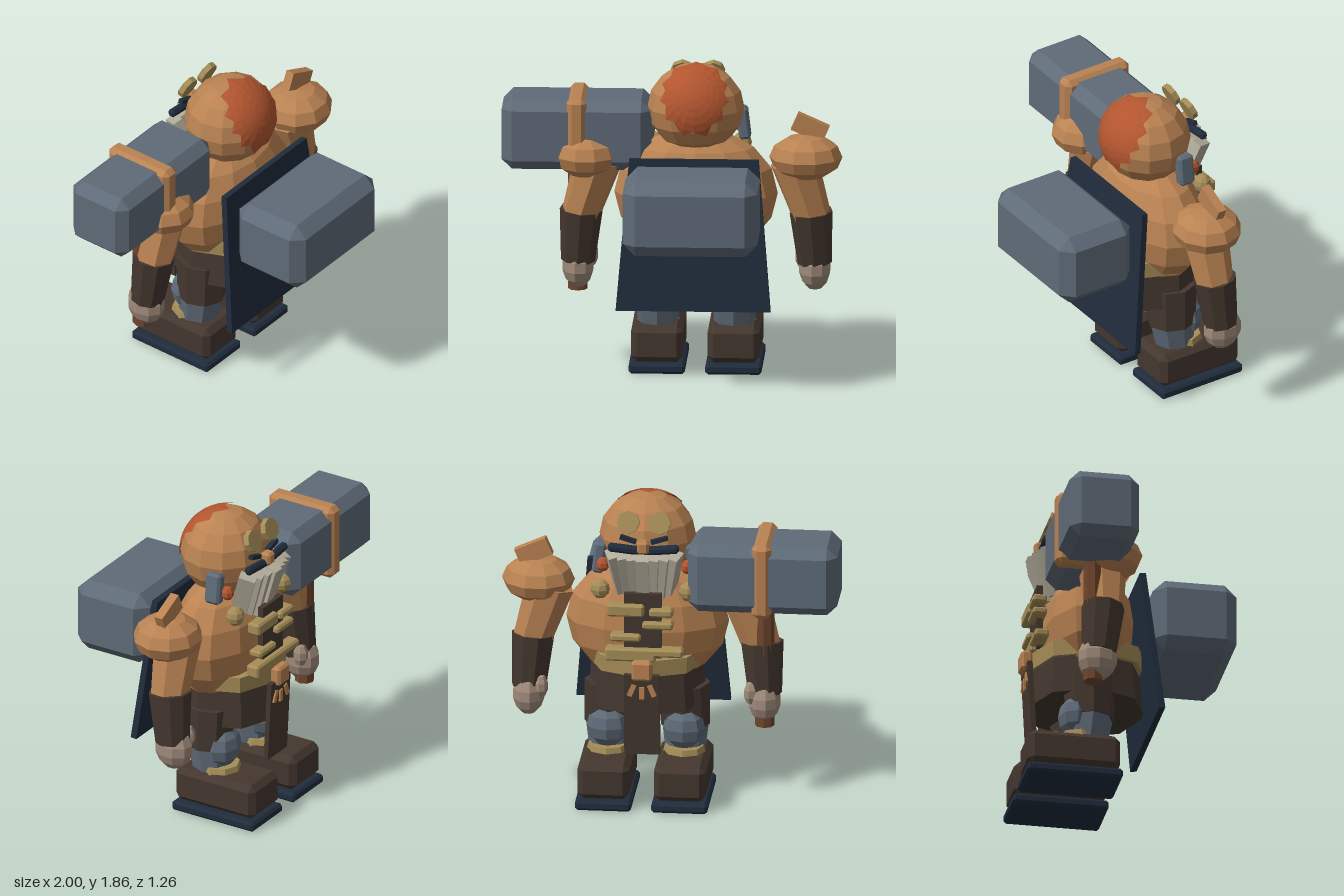
import * as THREE from 'three';
import { ConvexGeometry } from 'three/addons/geometries/ConvexGeometry.js';

const CX = 0.14; // the figure's own centre line

export function createModel() {
  const model = new THREE.Group();
  const mat = (name, color, side = THREE.FrontSide) =>
    new THREE.MeshStandardMaterial({ name, color, flatShading: true, side });
  const tan = mat('tan', 0xb98252);
  const slate = mat('slate', 0x5f6b78);
  const navy = mat('navy', 0x202c3c);
  const brown = mat('dark brown', 0x44372f);
  const gold = mat('gold', 0xa58d57);
  const orange = mat('orange', 0xb2552f, THREE.DoubleSide);
  const grey = mat('beard grey', 0xb3ac9b);
  const flesh = mat('hand flesh', 0xa08b7b);
  const wood = mat('wood', 0x70452c);

  function add(name, geo, material, pos = [0, 0, 0], rot = [0, 0, 0]) {
    const m = new THREE.Mesh(geo, material);
    m.name = name;
    m.position.set(...pos);
    m.rotation.set(...rot);
    model.add(m);
    return m;
  }
  // box with every edge and corner cut off by c
  function chamferBox(w, h, d, c) {
    const pts = [], s = [w / 2, h / 2, d / 2];
    for (let full = 0; full < 3; full++)
      for (const sx of [-1, 1]) for (const sy of [-1, 1]) for (const sz of [-1, 1]) {
        const v = [sx, sy, sz].map((q, i) => q * (s[i] - (i === full ? 0 : c)));
        pts.push(new THREE.Vector3(...v));
      }
    return new ConvexGeometry(pts);
  }
  const box = (w, h, d) => new THREE.BoxGeometry(w, h, d);
  const ball = (rx, ry, rz, a = 10, b = 7) => new THREE.SphereGeometry(1, a, b).scale(rx, ry, rz);
  // tapered limb between two points
  function limb(name, material, a, b, r0, r1, sides = 8) {
    const A = new THREE.Vector3(...a), B = new THREE.Vector3(...b);
    const m = add(name, new THREE.CylinderGeometry(r0, r1, A.distanceTo(B), sides), material);
    m.position.copy(A).add(B).multiplyScalar(0.5);
    m.quaternion.setFromUnitVectors(new THREE.Vector3(0, 1, 0), A.clone().sub(B).normalize());
    return m;
  }

  // torso, belt and skirt
  add('torso', ball(0.48, 0.39, 0.275, 12, 8), tan, [CX, 1.07, -0.21]);
  add('belt', new THREE.CylinderGeometry(0.36, 0.355, 0.1, 8), gold, [CX, 0.865, -0.2]);
  add('skirt', new THREE.CylinderGeometry(0.33, 0.35, 0.25, 8), brown, [CX, 0.705, -0.21]);

  // head and swept hair patch
  const headR = [0.285, 0.262, 0.262], headPos = [CX, 1.588, -0.195];
  add('head', ball(...headR, 12, 8), tan, headPos);
  add('hair', hairPatch(headR, 1.025), orange, headPos);

  // face
  for (const s of [-1, 1]) {
    const x = CX + s * 0.092;
    add('goggle', new THREE.CylinderGeometry(0.068, 0.068, 0.035, 8), gold, [x, 1.745, -0.44], [-1.2, 0, 0]);
    add('eyebrow', box(0.1, 0.025, 0.03), navy, [x, 1.645, -0.455], [0, 0, s * 0.3]);
    add('moustache', chamferBox(0.22, 0.05, 0.05, 0.015), navy, [CX + s * 0.1, 1.59, -0.475], [0, 0, s * 0.1]);
    add('earGuard', chamferBox(0.07, 0.19, 0.1, 0.015), slate, [CX + s * 0.275, 1.475, -0.29], [0, 0, s * 0.12]);
    add('braidBead', ball(0.04, 0.045, 0.04, 7, 5), orange, [CX + s * 0.25, 1.45, -0.365]);
    add('braidBall', ball(0.058, 0.06, 0.055, 8, 6), gold, [CX + s * 0.26, 1.32, -0.425]);
  }
  add('nose', chamferBox(0.07, 0.08, 0.07, 0.015), tan, [CX, 1.61, -0.485]);

  // beard made of a fan of slabs
  for (let i = -3; i <= 3; i++) {
    const k = Math.abs(i);
    add('beardLock', box(0.075 - k * 0.004, 0.33 - k * 0.02, 0.1), grey,
      [CX + i * 0.055, 1.4 + k * 0.01, -0.47 + k * 0.016], [-0.28, i * 0.12, i * -0.06]);
  }

  // chest panel with staggered clasps
  add('chestPanel', box(0.22, 0.4, 0.035), brown, [CX, 1.13, -0.505]);
  [[1.23, 0.1, 0.22, 0.075], [1.14, -0.09, 0.18, 0.045], [1.06, 0.1, 0.18, 0.045], [0.955, 0.07, 0.3, 0.08],
    [1.22, -0.11, 0.14, 0.05], [0.97, -0.13, 0.22, 0.05]].forEach(([y, dx, w, h]) =>
    add('clasp', chamferBox(w, h, 0.085, 0.012), gold, [CX + dx, y, -0.515]));

  // hanging apron with buckle and tabs
  add('apron', box(0.21, 0.5, 0.03), brown, [CX, 0.59, -0.55], [-0.05, 0, 0]);
  add('buckle', chamferBox(0.12, 0.12, 0.07, 0.015), tan, [CX, 0.87, -0.57]);
  for (const i of [-1, 0, 1])
    add('apronTab', box(0.03, 0.075, 0.02), tan, [CX + i * 0.06, 0.745 - (i === 0 ? 0.015 : 0), -0.573], [0, 0, i * 0.4]);

  // legs and boots
  for (const s of [-1, 1]) {
    const x = CX + s * 0.225;
    limb('thigh', brown, [x - s * 0.01, 0.68, -0.23], [x, 0.42, -0.23], 0.155, 0.145);
    limb('shin', slate, [x, 0.45, -0.23], [x, 0.25, -0.25], 0.14, 0.115);
    add('knee', ball(0.125, 0.13, 0.1, 8, 6), slate, [x, 0.43, -0.32]);
    add('ankleCuff', new THREE.CylinderGeometry(0.115, 0.13, 0.06, 8), gold, [x, 0.285, -0.3]);
    add('boot', chamferBox(0.305, 0.215, 0.55, 0.035), brown, [x, 0.173, -0.345]);
    add('sole', chamferBox(0.33, 0.06, 0.57, 0.015), navy, [x, 0.03, -0.345]);
  }

  // arms
  for (const s of [-1, 1]) {
    const X = (d) => CX + s * d;
    const r = s > 0 ? 0.215 : 0.19;
    add('shoulder', ball(r, 0.135, 0.205, 10, 6), tan, [X(0.645), 1.292, -0.2]);
    limb('upperArm', tan, [X(0.57), 1.27, -0.22], [X(0.68), 0.92, -0.23], 0.145, 0.115, 7);
    limb('gauntlet', brown, [X(0.675), 0.955, -0.235], [X(0.695), 0.64, -0.265], 0.128, 0.102, 9);
    add('hand', ball(0.096, 0.135, 0.12, 9, 7), flesh, [X(0.695), 0.605, -0.275]);
    add('thumb', ball(0.045, 0.075, 0.05, 7, 5), flesh, [X(0.62), 0.66, -0.32]);
  }
  add('shoulderTab', box(0.2, 0.11, 0.055), tan, [0.81, 1.465, -0.22], [0, 0, -0.42]);

  // great hammer resting on the right shoulder
  add('hammerHead', chamferBox(0.88, 0.42, 0.415, 0.06), slate, [-0.56, 1.42, -0.305]);
  add('hammerStrap', chamferBox(0.115, 0.46, 0.45, 0.03), tan, [-0.558, 1.42, -0.3]);
  limb('hammerHandle', wood, [-0.558, 1.25, -0.3], [-0.558, 0.455, -0.3], 0.057, 0.057, 8);

  // cape panel and pack
  const cape = new THREE.Shape([[-0.455, -0.45], [0.455, -0.45], [0.38, 0.45], [-0.38, 0.45]]
    .map((p) => new THREE.Vector2(...p)));
  add('cape', new THREE.ExtrudeGeometry(cape, { depth: 0.038, bevelEnabled: false }), navy,
    [CX, 0.885, 0.09], [-0.113, 0, 0]);
  add('pack', chamferBox(0.79, 0.45, 0.5, 0.072), slate, [CX, 1.097, 0.378]);

  return model;
}

// jagged patch that follows the head, tilted up over the crown
function hairPatch(radii, grow) {
  const seg = 22, rings = 6, pos = [], idx = [];
  const tilt = new THREE.Vector3(1, 0, 0);
  for (let j = 0; j <= rings; j++)
    for (let i = 0; i < seg; i++) {
      const a = (i / seg) * Math.PI * 2 + Math.PI / 2;
      const edge = 1 / Math.hypot(Math.cos(a) / 0.78, Math.sin(a) / 1.1);
      const t = edge * (j / rings) * (j === rings && i % 2 ? 0.8 : 1);
      const v = new THREE.Vector3(Math.sin(t) * Math.cos(a), Math.sin(t) * Math.sin(a), Math.cos(t));
      v.applyAxisAngle(tilt, -0.56);
      pos.push(v.x * radii[0] * grow, v.y * radii[1] * grow, v.z * radii[2] * grow);
      if (j < rings) {
        const n = (i + 1) % seg, p = j * seg + i, q = j * seg + n;
        if (j > 0) idx.push(p, q + seg, q);
        idx.push(p, p + seg, q + seg);
      }
    }
  const g = new THREE.BufferGeometry();
  g.setAttribute('position', new THREE.Float32BufferAttribute(pos, 3));
  g.setIndex(idx);
  g.computeVertexNormals();
  return g;
}
